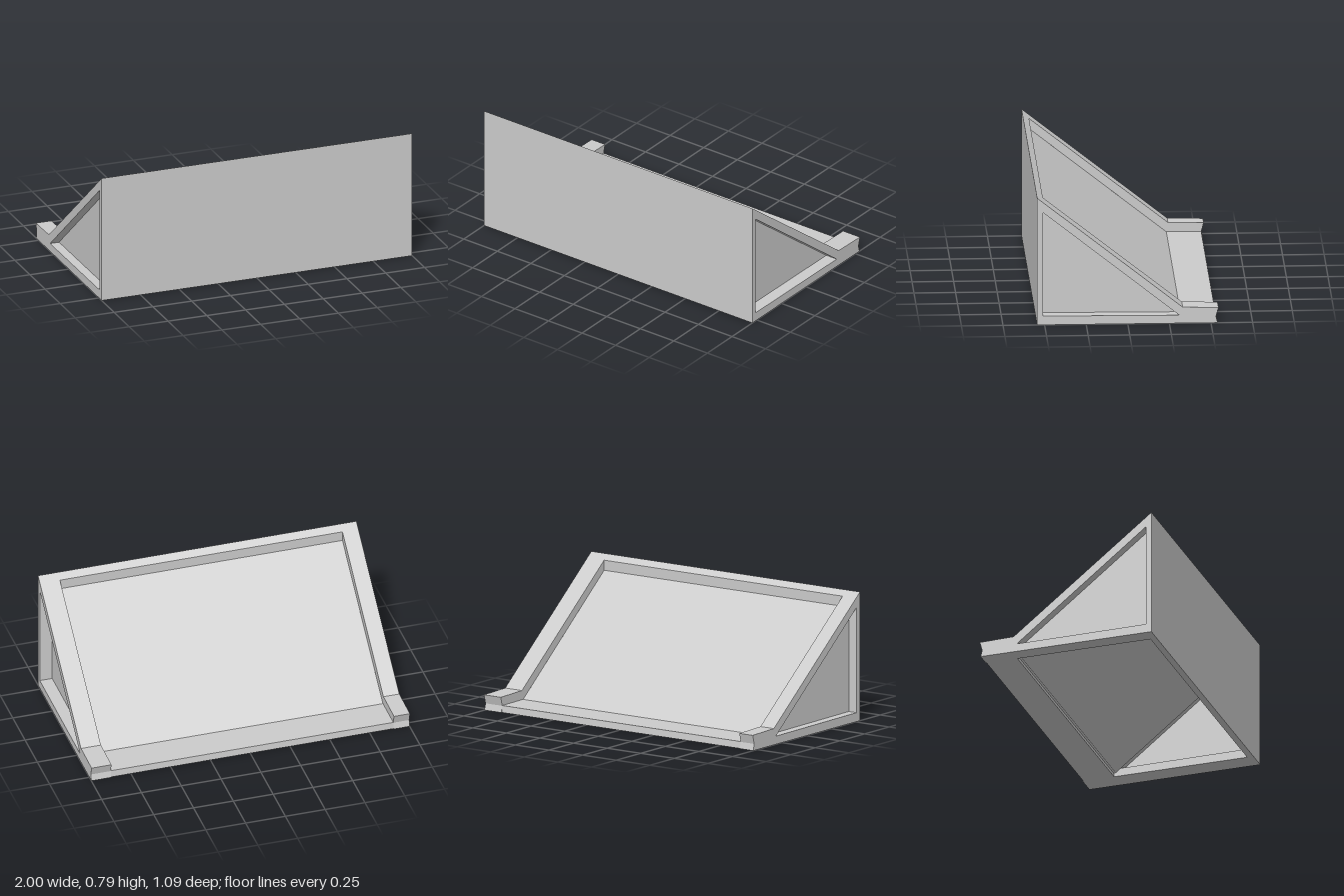
import * as THREE from 'three';

const material = new THREE.MeshStandardMaterial({ color: 0xcccccc, flatShading: true, side: THREE.DoubleSide });

// Extrudes a side profile of [z, y] points from x0 to x1.
function profilePart(name, points, x0, x1, hole) {
  const toVectors = (list) => list.map(([z, y]) => new THREE.Vector2(-z, y));
  const shape = new THREE.Shape(toVectors(points));
  if (hole) shape.holes.push(new THREE.Path(toVectors(hole)));
  const geometry = new THREE.ExtrudeGeometry(shape, { depth: x1 - x0, bevelEnabled: false });
  geometry.rotateY(Math.PI / 2).translate(x0, 0, 0);
  const mesh = new THREE.Mesh(geometry, material);
  mesh.name = name;
  return mesh;
}

export function createModel() {
  const group = new THREE.Group();
  group.name = 'wedgeStand';

  const outline = [[0.545, 0], [-0.54, 0], [-0.53, 0.04], [-0.545, 0.095], [-0.33, 0.1], [0.545, 0.79]];
  const window = [[0.51, 0.055], [0.51, 0.7], [-0.31, 0.05]];
  const left = 0.875, right = -0.9;

  // Triangular side frames with notched feet
  group.add(profilePart('leftSideFrame', outline, left, 1, window));
  group.add(profilePart('rightSideFrame', outline, -1, right, window));

  // Thin infill panels set back inside the side frames
  group.add(profilePart('leftSidePanel', window, 0.918, 0.922));
  group.add(profilePart('rightSidePanel', window, -0.942, -0.938));

  // Upright front wall, its top cut along the slope
  group.add(profilePart('frontWall', [[0.545, 0], [0.505, 0], [0.505, 0.758], [0.545, 0.79]], right, left));

  // Sunken sloping panel
  group.add(profilePart('slopePanel', [[0.505, 0.696], [-0.33, 0.034], [-0.33, 0.024], [0.505, 0.686]], right, left));

  // Low slab joining the feet at the back
  group.add(profilePart('backSlab', [[-0.34, 0], [-0.535, 0], [-0.53, 0.042], [-0.32, 0.044], [-0.34, 0.02]], right, left));

  return group;
}
